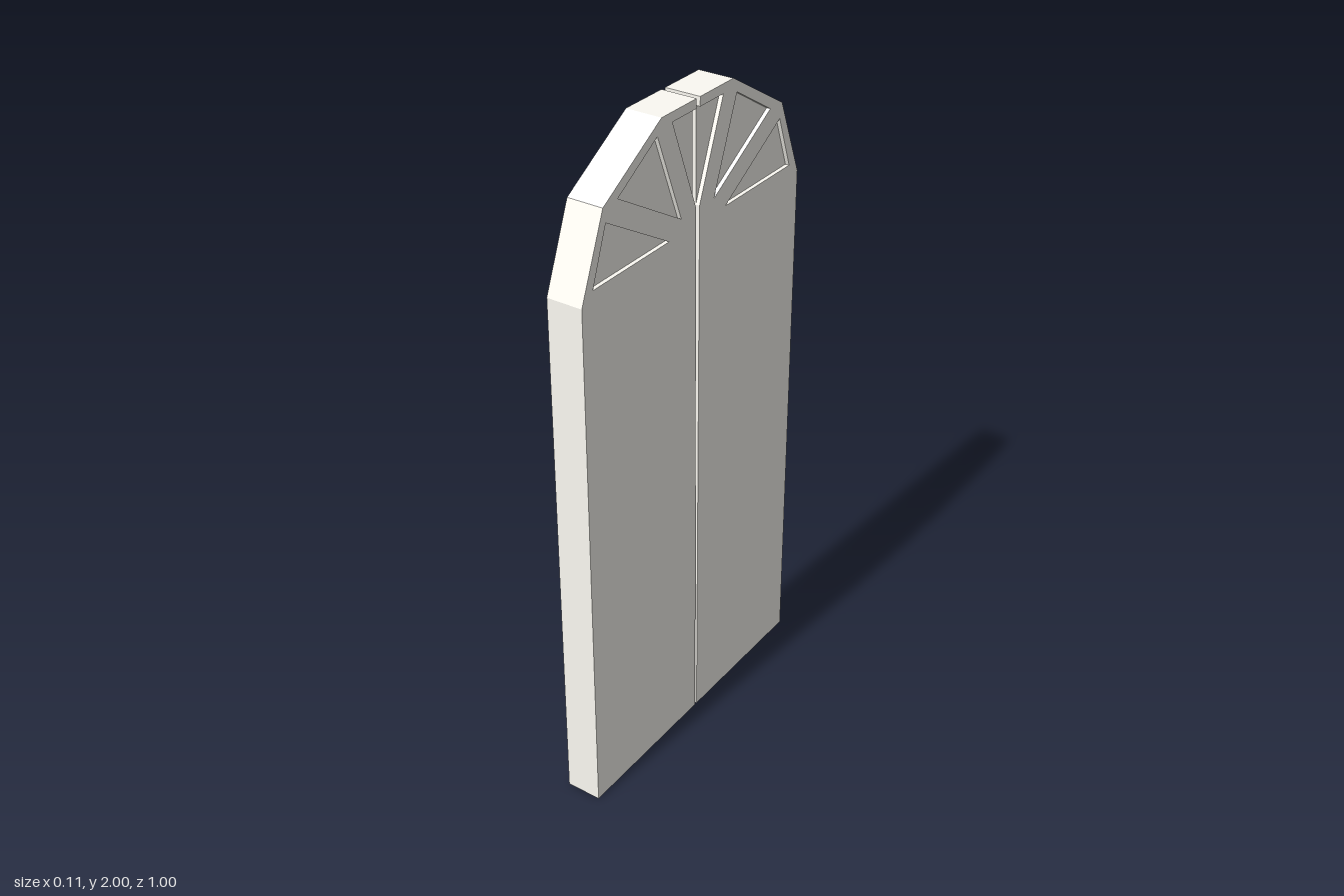
import * as THREE from 'three';

const HALF = 0.054;      // half thickness of a leaf
const RECESS = 0.012;    // depth of the fan recesses
const SPRING = 1.7;      // height where the meeting edge becomes square

// Half-arch outline with a notch for the central fan pane (z, y)
const outline = [[0, 0], [0.499, 0], [0.499, 1.62], [0.405, 1.853], [0.16, 2],
  [0, 2], [0, 1.973], [0.114, 1.973], [0, 1.7]];

// Fan recesses: two closed triangles and one open at the meeting edge
const lowerFan = [[0.453, 1.652], [0.395, 1.81], [0.13, 1.652]];
const upperFan = [[0.345, 1.855], [0.178, 1.957], [0.075, 1.694]];
const centreFan = [[0, 1.7], [0.114, 1.973], [0, 1.973]];

const points = (list) => list.map(([z, y]) => new THREE.Vector2(z, y));

// Extrudes a side profile across x and shapes the edge where the leaves meet
function slab(list, holes, halfDepth) {
  const shape = new THREE.Shape(points(list));
  holes.forEach((h) => shape.holes.push(new THREE.Path(points(h))));
  const geo = new THREE.ExtrudeGeometry(shape, { depth: halfDepth * 2, bevelEnabled: false });
  geo.translate(0, 0, -halfDepth);
  geo.rotateY(-Math.PI / 2);
  const p = geo.attributes.position;
  for (let i = 0; i < p.count; i++) {
    if (Math.abs(p.getZ(i)) > 0.001) continue;
    const slanted = 0.004 - (p.getX(i) / HALF) * 0.0045;
    p.setZ(i, THREE.MathUtils.lerp(slanted, 0.008, Math.min(p.getY(i) / SPRING, 1)));
  }
  geo.computeVertexNormals();
  return geo;
}

export function createModel() {
  const model = new THREE.Group();
  model.name = 'archedDoubleDoor';
  const material = new THREE.MeshStandardMaterial({ color: 0xfcfaf3 });

  const leafGeo = slab(outline, [lowerFan, upperFan], HALF);
  const paneGeos = [lowerFan, upperFan, centreFan].map((f) => slab(f, [], HALF - RECESS));

  // The second leaf is the first turned half way round
  ['frontLeaf', 'backLeaf'].forEach((name, i) => {
    const leaf = new THREE.Group();
    leaf.name = name;
    const panel = new THREE.Mesh(leafGeo, material);
    panel.name = 'doorPanel';
    leaf.add(panel);
    paneGeos.forEach((geo, k) => {
      const pane = new THREE.Mesh(geo, material);
      pane.name = ['lowerFanRecess', 'upperFanRecess', 'centreFanRecess'][k];
      leaf.add(pane);
    });
    leaf.rotation.y = i * Math.PI;
    model.add(leaf);
  });
  return model;
}
